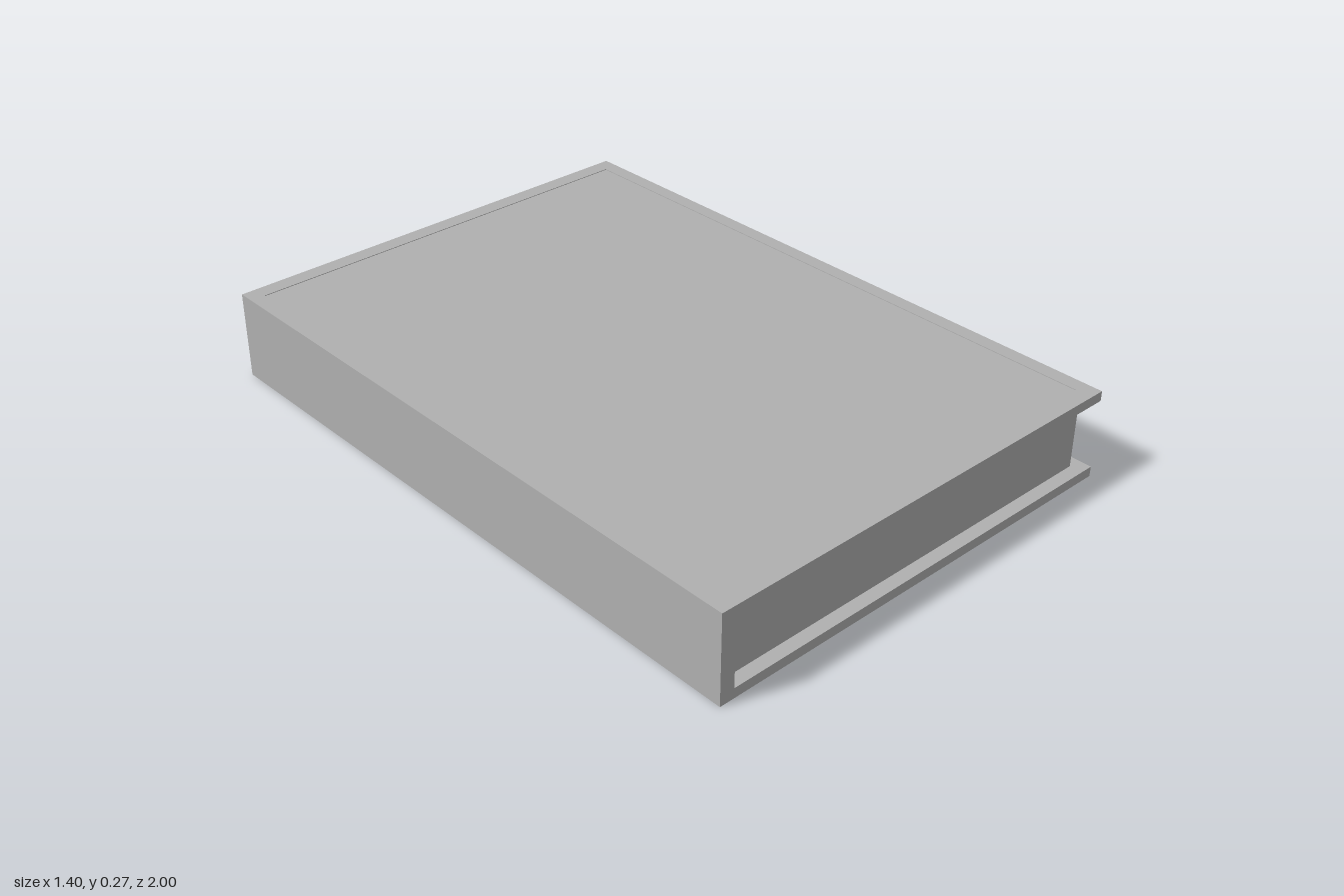
import * as THREE from 'three';

const WIDTH = 1.4, HEIGHT = 0.27, LENGTH = 2;
const BOARD = 0.03, SPINE = 0.045, RIM = 0.002;

function polygon(points) {
  return new THREE.Shape(points.map(([x, y]) => new THREE.Vector2(x, y)));
}

function rectangle(halfX, halfY) {
  return polygon([[-halfX, -halfY], [halfX, -halfY], [halfX, halfY], [-halfX, halfY]]);
}

export function createModel() {
  const book = new THREE.Group();
  book.name = 'book';
  const grey = new THREE.MeshStandardMaterial({ color: 0xb0b0b0 });
  grey.name = 'plain grey';

  const add = (name, geometry) => {
    const mesh = new THREE.Mesh(geometry, grey);
    mesh.name = name;
    book.add(mesh);
    return mesh;
  };

  // Hard cover: two boards joined by the spine on the -x side
  const r = WIDTH / 2, top = HEIGHT - RIM, inner = HEIGHT - BOARD;
  const profile = polygon([
    [-r, 0], [r, 0], [r, BOARD], [-r + SPINE, BOARD],
    [-r + SPINE, inner], [r, inner], [r, top], [-r, top],
  ]);
  const cover = new THREE.ExtrudeGeometry(profile, { depth: LENGTH, bevelEnabled: false });
  cover.translate(0, 0, -LENGTH / 2);
  add('cover', cover);

  // Very shallow raised border round the front board
  const border = rectangle(r, LENGTH / 2);
  border.holes.push(rectangle(0.655, 0.95));
  const rim = new THREE.ExtrudeGeometry(border, { depth: RIM, bevelEnabled: false });
  rim.rotateX(-Math.PI / 2);
  add('coverBorder', rim).position.y = top;

  // Page block, set back from the three open edges
  const left = -r + SPINE, right = 0.66;
  const pages = add('pages', new THREE.BoxGeometry(right - left, inner - BOARD, 1.92));
  pages.position.set((left + right) / 2, HEIGHT / 2, 0);

  return book;
}
